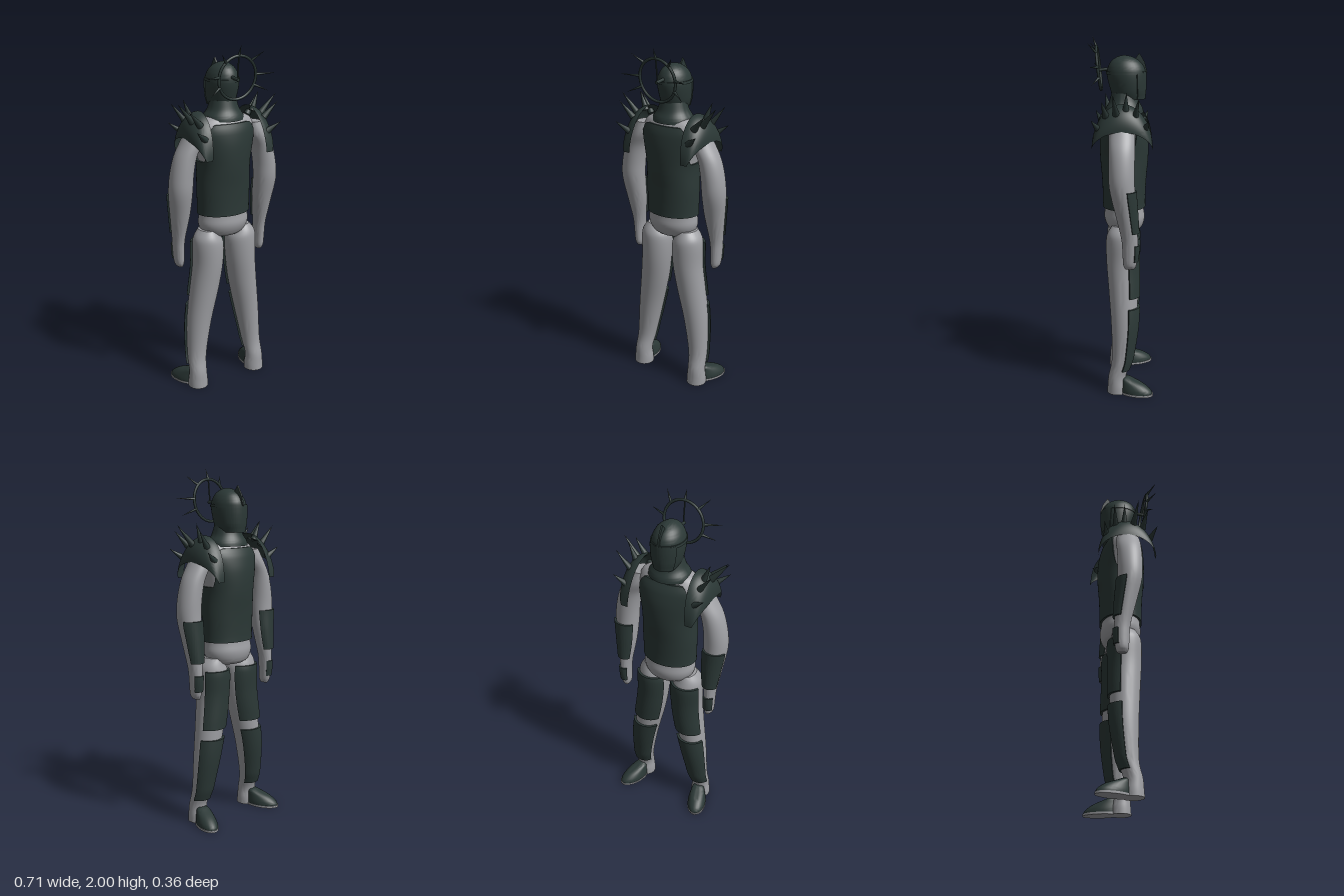
import * as THREE from 'three';
import { toCreasedNormals } from 'three/addons/utils/BufferGeometryUtils.js';

const PI = Math.PI;
const skin = new THREE.MeshStandardMaterial({ color: 0x9d9ea2 });
skin.name = 'light grey body';
const plate = new THREE.MeshStandardMaterial({ color: 0x2b3836, side: THREE.DoubleSide });
plate.name = 'dark green armour';

// Cross-sections, bottom to top: [y, centre x, centre z, radius x, radius z]
const TORSO = [
  [0.92, 0, -0.015, 0.1, 0.08], [0.94, 0, -0.015, 0.132, 0.1], [0.99, 0, -0.012, 0.152, 0.115],
  [1.06, 0, -0.01, 0.146, 0.108], [1.2, 0, -0.01, 0.148, 0.112], [1.34, 0, -0.01, 0.146, 0.123],
  [1.45, 0, -0.008, 0.165, 0.122], [1.53, 0, -0.004, 0.18, 0.108], [1.58, 0, 0, 0.16, 0.085],
  [1.61, 0, 0, 0.1, 0.065]];
const LEG = [
  [0, 0.2, 0.025, 0.058, 0.058], [0.04, 0.2, 0.025, 0.057, 0.055], [0.1, 0.2, 0.025, 0.052, 0.05],
  [0.2, 0.192, 0, 0.057, 0.056], [0.4, 0.168, -0.012, 0.073, 0.073], [0.6, 0.133, -0.007, 0.085, 0.083],
  [0.75, 0.113, 0, 0.088, 0.088], [0.87, 0.11, 0, 0.09, 0.09], [0.92, 0.115, 0, 0.075, 0.08],
  [0.96, 0.115, -0.005, 0.045, 0.06]];
const ARM = [
  [0.755, 0.272, -0.045, 0.014, 0.025], [0.78, 0.275, -0.045, 0.026, 0.036], [0.85, 0.277, -0.047, 0.03, 0.042],
  [0.93, 0.277, -0.043, 0.036, 0.045], [1.07, 0.277, -0.022, 0.056, 0.058], [1.2, 0.282, -0.003, 0.067, 0.068],
  [1.3, 0.275, 0, 0.066, 0.07], [1.4, 0.252, 0, 0.062, 0.07], [1.48, 0.21, 0, 0.06, 0.07],
  [1.55, 0.185, 0, 0.045, 0.055]];
const HELMET = [
  [1.655, 0, -0.035, 0.066, 0.085], [1.7, 0, -0.03, 0.08, 0.095], [1.77, 0, -0.022, 0.088, 0.105],
  [1.82, 0, -0.02, 0.083, 0.102], [1.86, 0, -0.016, 0.062, 0.078], [1.884, 0, -0.012, 0.03, 0.04],
  [1.892, 0, -0.01, 0.005, 0.006]];
const COLLAR = [
  [1.58, 0, -0.01, 0.12, 0.108], [1.605, 0, -0.01, 0.114, 0.102], [1.64, 0, -0.01, 0.09, 0.084],
  [1.69, 0, -0.01, 0.074, 0.07]];
const TOE = [
  [0.008, 0, -0.085, 0.055, 0.1], [0.03, 0, -0.08, 0.054, 0.095], [0.06, 0, -0.06, 0.046, 0.072],
  [0.085, 0, -0.03, 0.036, 0.036], [0.095, 0, -0.022, 0.022, 0.02]];

function section(rings, t) {
  const i = Math.min(Math.floor(t), rings.length - 2), f = t - i;
  const at = (k) => rings[Math.max(0, Math.min(rings.length - 1, k))];
  const [a, b, c, d] = [at(i - 1), at(i), at(i + 1), at(i + 2)];
  return b.map((p, k) => {
    const m0 = (c[k] - a[k]) / 2, m1 = (d[k] - p) / 2, q = c[k] - p;
    return p + f * (m0 + f * (3 * q - 2 * m0 - m1 + f * (m0 + m1 - 2 * q)));
  });
}

function heightToT(rings, y) {
  let i = 0;
  while (i < rings.length - 2 && rings[i + 1][0] < y) i++;
  return i + (y - rings[i][0]) / (rings[i + 1][0] - rings[i][0]);
}

// Grid of points into a surface
function grid(rows, cols, point) {
  const pos = [], idx = [];
  for (let j = 0; j <= rows; j++) for (let i = 0; i <= cols; i++) pos.push(...point(j, i));
  for (let j = 0; j < rows; j++) for (let i = 0; i < cols; i++) {
    const a = j * (cols + 1) + i, b = a + cols + 1;
    idx.push(a, b, a + 1, a + 1, b, b + 1);
  }
  const g = new THREE.BufferGeometry();
  g.setAttribute('position', new THREE.Float32BufferAttribute(pos, 3));
  g.setIndex(idx);
  return toCreasedNormals(g, 0.8);
}

// Closed body through all cross-sections
function loft(rings, rows = 36, cols = 36) {
  return grid(rows + 2, cols, (j, i) => {
    const t = Math.max(0, Math.min(1, (j - 1) / rows)) * (rings.length - 1);
    const [y, cx, cz, rx, rz] = section(rings, t);
    const k = j === 0 || j === rows + 2 ? 0 : 1, a = (i % cols) / cols * 2 * PI;
    return [cx + k * rx * Math.cos(a), y, cz + k * rz * Math.sin(a)];
  });
}

// Raised plate following part of a body, with its edges turned in
function shell(rings, y0, top, a0, a1, off, rows = 20, cols = 36) {
  return grid(rows + 2, cols + 2, (j, i) => {
    const u = Math.max(0, Math.min(1, (i - 1) / cols)), v = Math.max(0, Math.min(1, (j - 1) / rows));
    const a = a0 + (a1 - a0) * u, y1 = typeof top === 'function' ? top(a) : top;
    const y = y0 + (y1 - y0) * v;
    const [, cx, cz, rx, rz] = section(rings, heightToT(rings, y));
    const o = j === 0 || i === 0 || j === rows + 2 || i === cols + 2 ? -0.004 : off;
    return [cx + (rx + o) * Math.cos(a), y, cz + (rz + o) * Math.sin(a)];
  });
}

function mirror(geo) {
  const g = geo.index ? geo.toNonIndexed() : geo.clone();
  g.scale(-1, 1, 1);
  const idx = [];
  for (let i = 0; i < g.attributes.position.count; i += 3) idx.push(i, i + 2, i + 1);
  g.setIndex(idx);
  return g;
}

function spike(from, to, r) {
  const a = new THREE.Vector3(...from), b = new THREE.Vector3(...to), d = b.clone().sub(a);
  const g = new THREE.ConeGeometry(r, d.length(), 12);
  g.applyQuaternion(new THREE.Quaternion().setFromUnitVectors(new THREE.Vector3(0, 1, 0), d.clone().normalize()));
  return g.translate(...a.add(b).multiplyScalar(0.5).toArray());
}

export function createModel() {
  const model = new THREE.Group();
  const add = (name, geo, mat, parent = model) => {
    const m = new THREE.Mesh(geo, mat);
    m.name = name;
    parent.add(m);
    return m;
  };
  const pair = (name, geo, mat) => {
    add(name + 'Left', geo, mat);
    add(name + 'Right', mirror(geo), mat);
  };

  // Body
  add('torso', loft(TORSO, 44, 48), skin);
  pair('leg', loft(LEG), skin);
  pair('arm', loft(ARM), skin);

  // Cuirass, cut low under the arms
  const cut = (a) => 1.36 + 0.21 * THREE.MathUtils.smoothstep(Math.abs(Math.sin(a)), 0.3, 0.8);
  add('cuirass', shell(TORSO, 1.05, cut, 0, 2 * PI, 0.012, 28, 72), plate);

  // Limb plates on the face side
  const front = -PI / 2;
  pair('thighPlate', shell(LEG, 0.56, 0.89, front - 1.05, front + 1.15, 0.013), plate);
  pair('shinPlate', shell(LEG, 0.14, 0.5, front - 1.1, front + 1.25, 0.013), plate);
  pair('bracer', shell(ARM, 0.96, 1.19, front - 0.95, front + 1.2, 0.01), plate);
  pair('handPlate', shell(ARM, 0.8, 0.89, front - 0.75, front + 1.0, 0.008, 8, 14), plate);

  // Shoes: grey sole and dark toe cap, turned outward
  const turn = (g) => g.rotateY(-0.35).translate(0.2, 0, 0);
  pair('toeCap', turn(loft(TOE, 16, 28)), plate);
  pair('sole', turn(new THREE.CylinderGeometry(1, 1, 0.012, 28).scale(0.057, 1, 0.103).translate(0, 0.006, -0.085)), skin);

  // Shoulder guards: arched domes draped over each shoulder
  pair('shoulderGuard', grid(16, 32, (j, i) => {
    const u = i / 32 * PI, v = j / 16 * PI / 2, s = Math.sin(u);
    const inner = 0.175 - 0.02 * s, outer = 0.215 + 0.042 * s;
    return [inner + (outer - inner) * Math.sin(v), 1.4 + s * (0.1 + 0.14 * Math.cos(v)),
      (0.165 - 0.015 * Math.sin(v) * s) * Math.cos(u) - 0.002];
  }), plate);
  const spikes = [
    [[0.2, 1.51, 0.125], [0.273, 1.565, 0.162]], [[0.205, 1.58, 0.085], [0.285, 1.665, 0.105]],
    [[0.22, 1.59, 0.03], [0.317, 1.7, 0.045]], [[0.2, 1.6, -0.02], [0.245, 1.71, -0.025]],
    [[0.2, 1.57, -0.07], [0.283, 1.68, -0.09]], [[0.2, 1.51, -0.122], [0.273, 1.565, -0.145]]];
  spikes.forEach(([a, b], k) => pair('shoulderSpike' + (k + 1), spike(a, b, 0.02), plate));

  // Collar and helmet with face guard, brow band and fin
  add('collar', loft(COLLAR, 14), plate);
  add('helmet', loft(HELMET), plate);
  add('faceGuard', shell(HELMET, 1.655, 1.8, front - 1.0, front + 1.0, 0.006), plate);
  add('browBand', shell(HELMET, 1.79, 1.805, 0, 2 * PI, 0.005, 2), plate);
  const fin = new THREE.Shape([[-0.06, 1.86], [-0.092, 1.905], [-0.122, 1.855], [-0.136, 1.8], [-0.1, 1.78]]
    .map((p) => new THREE.Vector2(...p)));
  add('helmetFin', new THREE.ExtrudeGeometry(fin, { depth: 0.01, bevelEnabled: false })
    .translate(0, 0, -0.005).rotateY(-PI / 2), plate);

  // Spiked ring behind the head
  const halo = new THREE.Group();
  halo.name = 'halo';
  halo.position.set(0, 1.822, 0.13);
  halo.rotation.x = 0.11;
  model.add(halo);
  add('haloRing', new THREE.TorusGeometry(0.117, 0.008, 8, 48), plate, halo);
  add('haloStrut', new THREE.CylinderGeometry(0.004, 0.004, 0.117, 8).translate(0, 0.058, 0), plate, halo);
  add('haloMount', new THREE.CylinderGeometry(0.009, 0.009, 0.08, 10).rotateX(PI / 2).translate(0, -0.01, -0.03), plate, halo);
  for (const [deg, r] of [[90, 0.176], [47, 0.195], [133, 0.195], [5, 0.217], [175, 0.217], [-23, 0.2], [203, 0.2]]) {
    const c = Math.cos(deg * PI / 180), s = Math.sin(deg * PI / 180);
    add('haloSpike', spike([0.117 * c, 0.117 * s, 0], [r * c, r * s, deg === 90 ? 0.015 : 0.04], 0.008), plate, halo);
  }
  return model;
}
